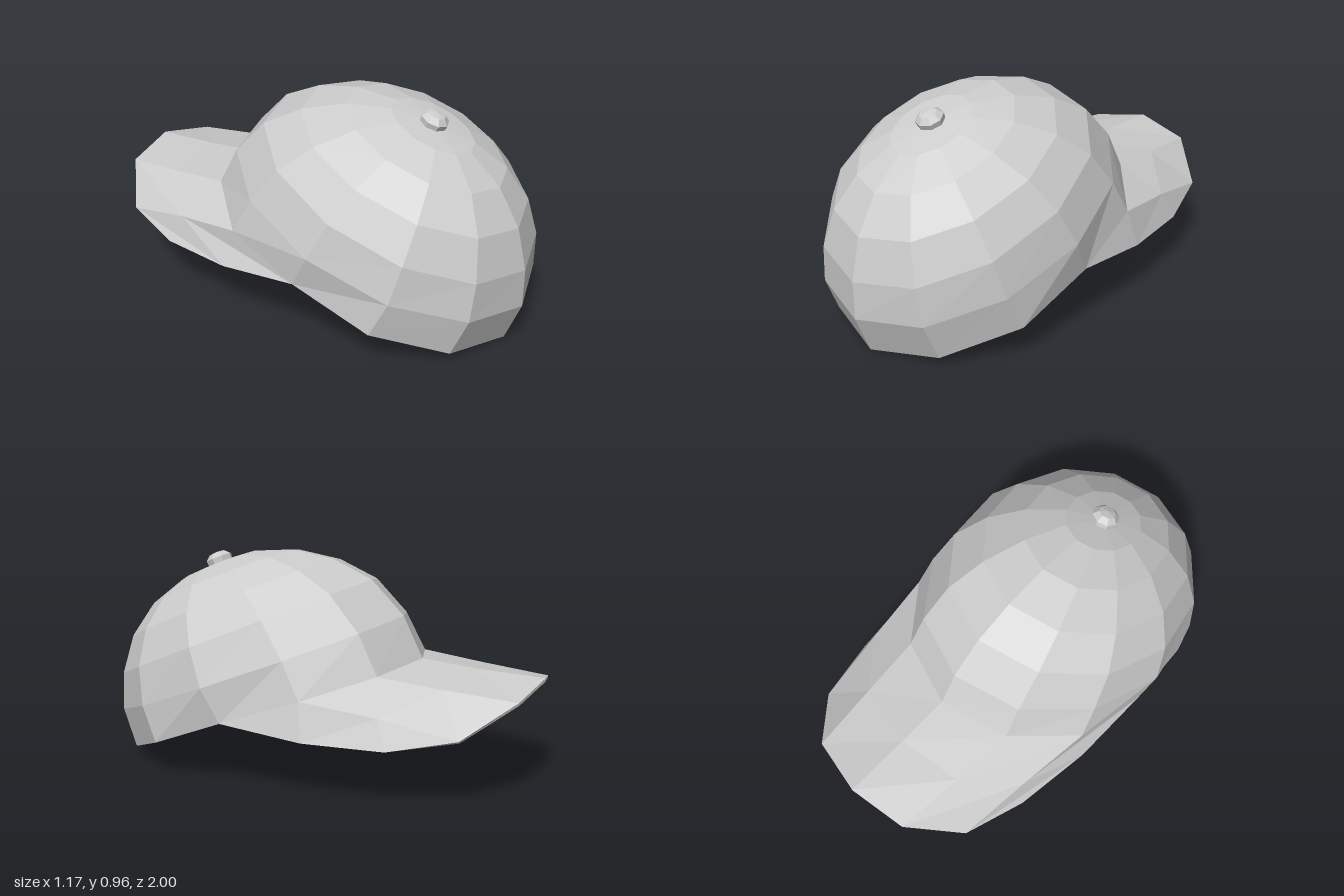
import * as THREE from 'three';

// Faceted surface through rows of points; columns run clockwise seen from above
function gridGeometry(rows) {
  const pos = [];
  for (let r = 0; r < rows.length - 1; r++) {
    for (let c = 0; c < rows[r].length - 1; c++) {
      const a = rows[r][c + 1], b = rows[r][c], d = rows[r + 1][c], e = rows[r + 1][c + 1];
      for (const tri of [[a, b, d], [a, d, e]]) {
        const [p, q, s] = tri;
        const area = q.clone().sub(p).cross(s.clone().sub(p)).length();
        if (area > 1e-7) tri.forEach((v) => pos.push(v.x, v.y, v.z));
      }
    }
  }
  const geo = new THREE.BufferGeometry();
  geo.setAttribute('position', new THREE.Float32BufferAttribute(pos, 3));
  geo.computeVertexNormals();
  return geo;
}

// Dome rings from rim to crown: [back y, back z, peak-side y, peak-side z, half width]
const RINGS = [
  [0, 0.93, 0.52, -0.46, 0.57],
  [0.175, 1.0, 0.7, -0.37, 0.585],
  [0.345, 1.0, 0.85, -0.22, 0.54],
  [0.525, 0.955, 0.93, -0.04, 0.445],
  [0.68, 0.86, 0.965, 0.16, 0.31],
  [0.8, 0.72, 0.95, 0.36, 0.16],
  [0.893, 0.54, 0.893, 0.54, 0],
];

function ringPoint(k, step) {
  const [by, bz, fy, fz, w] = RINGS[k];
  const a = (step * Math.PI) / 6;
  const s = Math.sin(a), t = (1 + Math.cos(a)) / 2;
  const rim = k === 0 ? 1 : 0;
  return new THREE.Vector3(
    (w + rim * 0.045 * Math.abs(Math.sin(2 * a))) * s,
    by + (fy - by) * t + rim * 0.03 * s * s,
    bz + (fz - bz) * t
  );
}

function domeGeometry() {
  const centre = new THREE.Vector3(0, 0.26, 0.235);
  const outer = RINGS.map((_, k) => Array.from({ length: 13 }, (_, i) => ringPoint(k, i)));
  const inner = outer.map((row) => row.map((p) => p.clone().lerp(centre, 0.025)));
  return gridGeometry([...inner.reverse(), ...outer]);
}

// Peak columns from the centre to the side: middle point, then outer point
const PEAK = [
  [[0, 0.497, -0.7], [0, 0.483, -1.0]],
  [[0.285, 0.462, -0.65], [0.26, 0.435, -0.955]],
  [[0.49, 0.37, -0.44], [0.455, 0.305, -0.77]],
  [[0.57, 0.252, -0.14], [0.53, 0.248, -0.49]],
];

function peakGeometry() {
  const top = [[], [], []], under = [[], [], []];
  for (let c = -3; c <= 3; c++) {
    const side = Math.sign(c), column = PEAK[Math.abs(c)];
    const a = (c * Math.PI) / 7;
    const offset = new THREE.Vector3(-Math.sin(a) * 0.014, -Math.cos(a) * 0.014, 0);
    const points = [
      ringPoint(0, c),
      ...column.map(([x, y, z]) => new THREE.Vector3(side * x, y, z)),
    ];
    points.forEach((p, r) => {
      top[r].push(p);
      under[r].push(p.clone().add(offset));
    });
  }
  // Close both side edges at the midline of the thickness
  for (let r = 0; r < 3; r++) {
    const first = top[r][0].clone().lerp(under[r][0], 0.5);
    const last = top[r][6].clone().lerp(under[r][6], 0.5);
    for (const row of [top[r], under[r]]) {
      row.unshift(first);
      row.push(last);
    }
  }
  return gridGeometry([...under, ...top.reverse()]);
}

function buttonGeometry() {
  const profile = [[0.001, -0.03], [0.058, -0.03], [0.062, 0.008], [0.038, 0.03], [0, 0.036]];
  const lathe = new THREE.LatheGeometry(profile.map(([x, y]) => new THREE.Vector2(x, y)), 8);
  const geo = lathe.toNonIndexed();
  geo.computeVertexNormals();
  return geo;
}

export function createModel() {
  const model = new THREE.Group();
  model.name = 'baseballCap';
  const fabric = new THREE.MeshStandardMaterial({ color: 0xcccccc });
  fabric.name = 'light grey fabric';

  const add = (name, geometry) => {
    const mesh = new THREE.Mesh(geometry, fabric);
    mesh.name = name;
    model.add(mesh);
    return mesh;
  };

  add('crown', domeGeometry());
  add('peak', peakGeometry());

  // Button leans with the crown
  const button = add('topButton', buttonGeometry());
  button.position.set(0, 0.902, 0.545);
  button.rotation.x = 0.4;
  return model;
}
